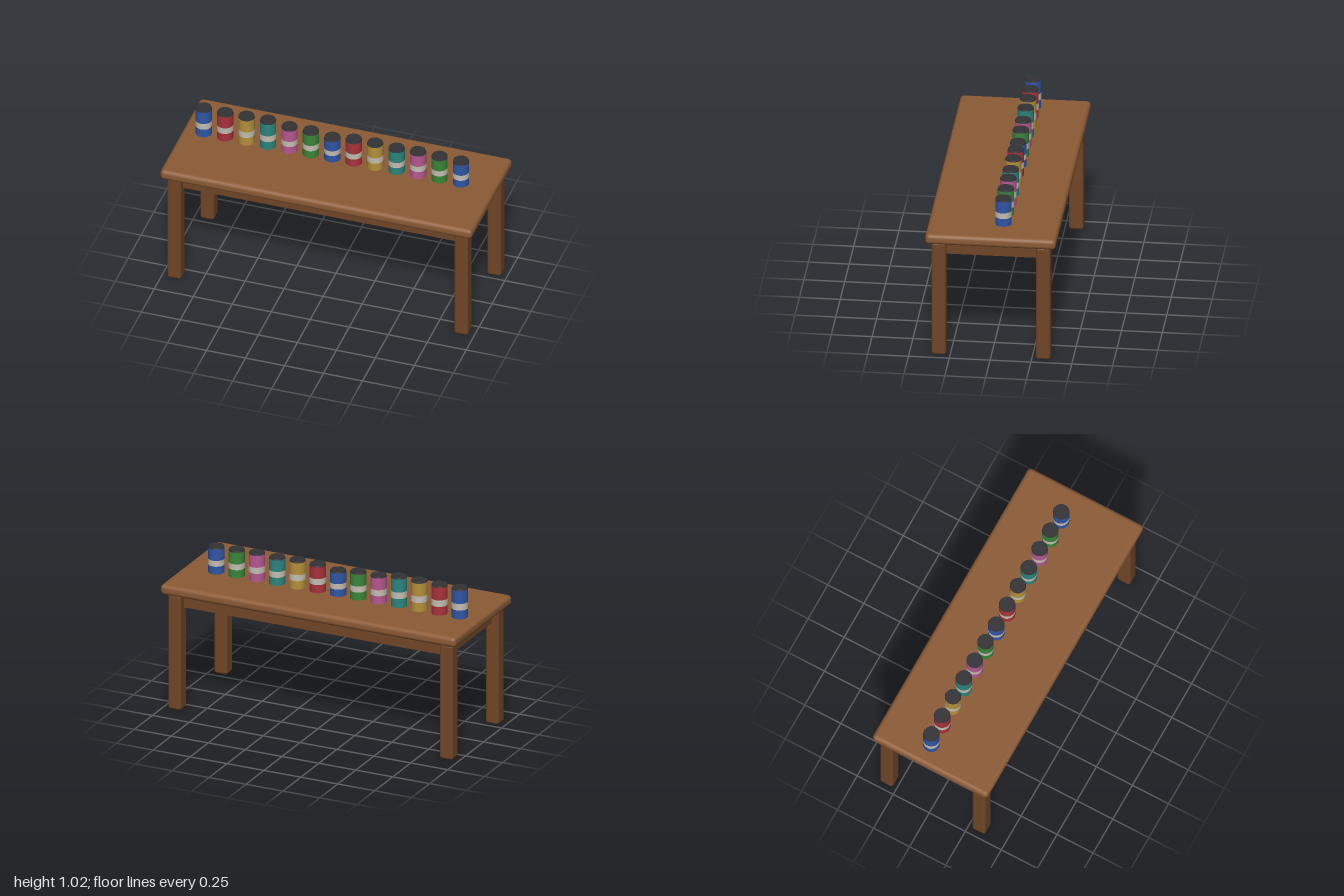
import * as THREE from 'three';
import { RoundedBoxGeometry } from 'three/addons/geometries/RoundedBoxGeometry.js';

const mat = (color) => new THREE.MeshStandardMaterial({ color });

function add(parent, name, geometry, material, x, y, z) {
  const mesh = new THREE.Mesh(geometry, material);
  mesh.name = name;
  mesh.position.set(x, y, z);
  parent.add(mesh);
  return mesh;
}

const TOP = 0.823, CAN_R = 0.05;
const bandMat = mat(0xc4beb2), lidMat = mat(0x333336);

// Can: coloured body, pale label band, dark lid
function makeCan(height, bodyMat) {
  const can = new THREE.Group();
  can.name = 'can';
  const lidH = 0.01, bodyH = height - lidH;
  add(can, 'canBody', new THREE.CylinderGeometry(CAN_R, CAN_R, bodyH, 32), bodyMat, 0, bodyH / 2, 0);
  add(can, 'canBand', new THREE.CylinderGeometry(CAN_R + 0.0008, CAN_R + 0.0008, height * 0.22, 32, 1, true),
    bandMat, 0, height * 0.41, 0);
  add(can, 'canLid', new THREE.CylinderGeometry(CAN_R - 0.003, CAN_R, lidH, 32), lidMat, 0, bodyH + lidH / 2, 0);
  return can;
}

export function createModel() {
  const model = new THREE.Group();
  model.name = 'tableWithCans';

  // Table
  const table = new THREE.Group();
  table.name = 'table';
  model.add(table);
  const topMat = mat(0x8c5b35), legMat = mat(0x704626);
  add(table, 'tabletop', new RoundedBoxGeometry(2, 0.067, 0.8, 3, 0.026), topMat, 0, TOP - 0.0335, 0);
  add(table, 'apron', new THREE.BoxGeometry(1.84, 0.095, 0.64), legMat, 0, 0.7145, 0);
  const legGeo = new RoundedBoxGeometry(0.09, 0.757, 0.09, 3, 0.018);
  for (const sx of [-1, 1])
    for (const sz of [-1, 1])
      add(table, 'leg', legGeo, legMat, sx * 0.92, 0.3785, sz * 0.32);

  // Row of cans of slightly varying height
  const [blue, red, yellow, teal, pink, green] =
    [0x3056a6, 0xa8323c, 0xb4903a, 0x2c857d, 0xb5588e, 0x3a8539].map(mat);
  const colors = [blue, red, yellow, teal, pink, green, blue, red, yellow, teal, pink, green, blue];
  const tops = [1.017, 1.014, 1.017, 1.02, 1.002, 1.002, 0.985, 1.002, 1.005, 0.998, 1.004, 1.0, 0.996];
  const row = new THREE.Group();
  row.name = 'canRow';
  model.add(row);
  colors.forEach((m, i) => {
    const can = makeCan(tops[i] - TOP, m);
    can.position.set(-0.867 + i * 0.1374, TOP, -0.058);
    row.add(can);
  });
  return model;
}
